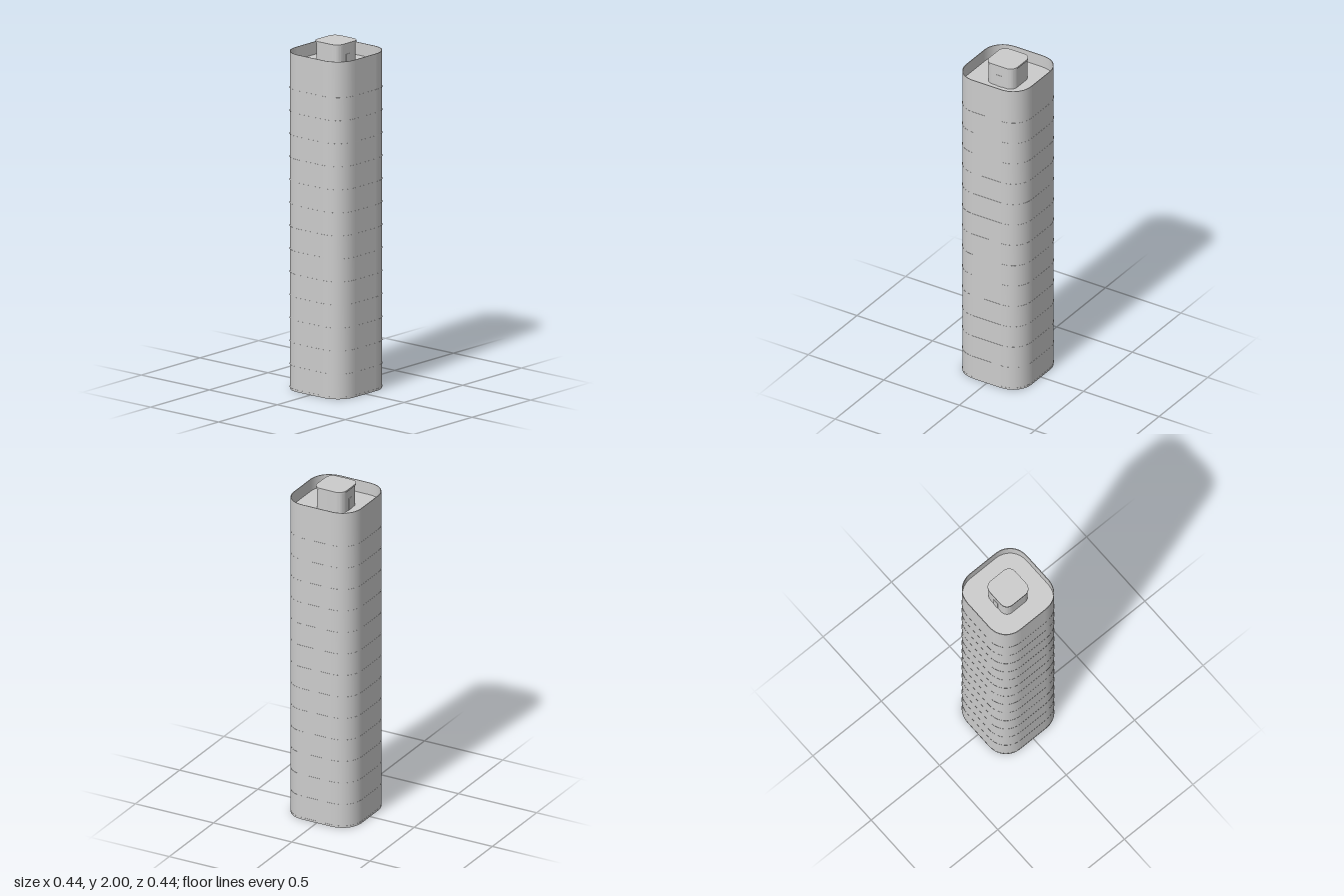
import * as THREE from 'three';
import { toCreasedNormals } from 'three/addons/utils/BufferGeometryUtils.js';

const HALF = 0.218, FLAT = 0.09, WALL = 0.004, HEIGHT = 1.94;
const PITCH = 0.1325, FLOORS = 14, ROUND = 0.59;
const CORE = 0.094, CORE_FLAT = 0.045, ROOF = 0.012 + FLOORS * PITCH;

// Square plan with soft corners; h = half width, f = half length of the straight side
function roundedSquare(h, f, PathType = THREE.Shape) {
  const p = new PathType();
  const k = f + (h - f) * ROUND;
  p.moveTo(h, -f);
  p.lineTo(h, f);
  p.bezierCurveTo(h, k, k, h, f, h);
  p.lineTo(-f, h);
  p.bezierCurveTo(-k, h, -h, k, -h, f);
  p.lineTo(-h, -f);
  p.bezierCurveTo(-h, -k, -k, -h, -f, -h);
  p.lineTo(f, -h);
  p.bezierCurveTo(k, -h, h, -k, h, -f);
  return p;
}

// Plan of one curved corner panel
function cornerPlan() {
  const h = HALF, i = HALF - WALL, f = FLAT;
  const k = f + (h - f) * ROUND, ki = f + (i - f) * ROUND;
  const s = new THREE.Shape();
  s.moveTo(h, f);
  s.bezierCurveTo(h, k, k, h, f, h);
  s.lineTo(f, i);
  s.bezierCurveTo(ki, i, i, ki, i, f);
  s.lineTo(h, f);
  return s;
}

// Raises a plan shape from y0 to y1
function raise(shape, y0, y1) {
  const g = new THREE.ExtrudeGeometry(shape, { depth: y1 - y0, bevelEnabled: false, curveSegments: 14 });
  g.rotateX(-Math.PI / 2).translate(0, y0, 0);
  return toCreasedNormals(g, 0.5);
}

export function createModel() {
  const model = new THREE.Group();
  model.name = 'tower';
  const grey = new THREE.MeshStandardMaterial({ color: 0xcccccc });
  const add = (name, geometry, parent = model) => {
    const mesh = new THREE.Mesh(geometry, grey);
    mesh.name = name;
    parent.add(mesh);
    return mesh;
  };

  // Thin outer skin: a flat panel and a curved corner on each side, up to the parapet
  const facade = new THREE.Group();
  facade.name = 'facade';
  model.add(facade);
  const flat = new THREE.BoxGeometry(WALL, HEIGHT, FLAT * 2).translate(HALF - WALL / 2, HEIGHT / 2, 0);
  const corner = raise(cornerPlan(), 0, HEIGHT);
  for (let i = 0; i < 4; i++) {
    add('facadePanel', flat, facade).rotation.y = i * Math.PI / 2;
    add('cornerPanel', corner, facade).rotation.y = i * Math.PI / 2;
  }

  // Floor edges showing as fine lines around the skin
  const bands = new THREE.Group();
  bands.name = 'floorBands';
  model.add(bands);
  const plan = roundedSquare(HALF + 0.0008, FLAT);
  plan.holes.push(roundedSquare(HALF - WALL / 2, FLAT, THREE.Path));
  const band = raise(plan, -0.004, 0);
  for (let i = 0; i < FLOORS; i++) {
    add('floorBand', band, bands).position.y = 0.012 + i * PITCH;
  }

  // Base, inner floors and recessed roof
  const slab = roundedSquare(HALF - WALL, FLAT);
  add('baseSlab', raise(slab, 0, 0.012));
  const floor = raise(slab, -0.012, 0);
  for (let i = 1; i < FLOORS; i++) add('floorSlab', floor).position.y = 0.012 + i * PITCH;
  add('roofSlab', raise(slab, ROOF - 0.012, ROOF));

  // Lift and stair core rising above the parapet, with a slightly wider cap
  add('core', raise(roundedSquare(CORE - 0.004, CORE_FLAT), 0.012, 1.99));
  add('coreCap', raise(roundedSquare(CORE, CORE_FLAT), 1.99, 2));

  // Roof access doors on the front and back of the core
  for (const side of [1, -1]) {
    const door = add('roofDoor', new THREE.BoxGeometry(0.036, 0.07, 0.004));
    door.position.set(0, ROOF + 0.035, side * (CORE - 0.004));
  }
  return model;
}
